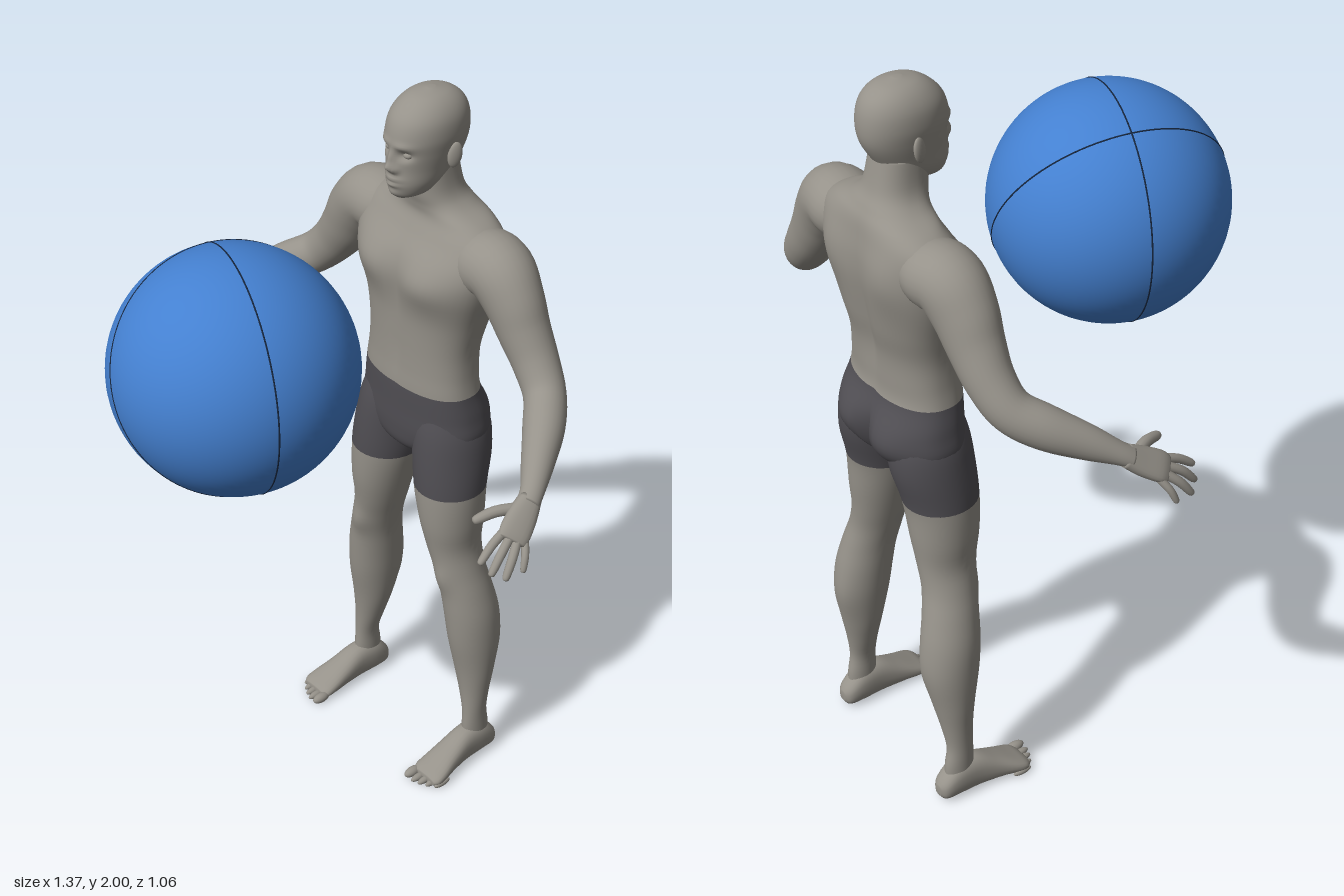
import * as THREE from 'three';

const V = (x, y, z) => new THREE.Vector3(x, y, z);
const material = (name, color) => {
  const m = new THREE.MeshStandardMaterial({ color });
  m.name = name;
  return m;
};

// Catmull-Rom through rows of numbers
function spline(rows, i, t) {
  const at = k => rows[Math.min(rows.length - 1, Math.max(0, k))];
  const [p, q, r, s] = [at(i - 1), at(i), at(i + 1), at(i + 2)];
  return q.map((_, k) => 0.5 * (2 * q[k] + (r[k] - p[k]) * t
    + (2 * p[k] - 5 * q[k] + 4 * r[k] - s[k]) * t * t
    + (3 * q[k] - p[k] - 3 * r[k] + s[k]) * t * t * t));
}

// Closed skin over rows [x, y, z, halfWidth, halfDepth].
// width: direction of halfWidth; axis: fixed ring normal (else the path tangent);
// split: row where the second material begins; bumps: [x, y, side, sx, sy, amount]
function loft(name, mats, rows, o = {}) {
  const { width = V(1, 0, 0), axis, power = 2, sides = 24, steps = 4, split, bumps = [] } = o;
  const rings = [];
  for (let i = 0; i < rows.length - 1; i++)
    for (let k = 0; k < steps; k++) rings.push(spline(rows, i, k / steps));
  rings.push(rows[rows.length - 1]);
  const pos = [], index = [], bend = c => Math.sign(c) * Math.abs(c) ** (2 / power);
  rings.forEach((r, i) => {
    const a = rings[Math.max(0, i - 1)], b = rings[Math.min(rings.length - 1, i + 1)];
    const t = axis || V(b[0] - a[0], b[1] - a[1], b[2] - a[2]).normalize();
    const v = width.clone().addScaledVector(t, -width.dot(t)).normalize();
    const u = v.clone().cross(t);
    for (let j = 0; j < sides; j++) {
      const th = j / sides * Math.PI * 2, c = Math.cos(th);
      const p = V(r[0], r[1], r[2])
        .addScaledVector(v, Math.max(r[3], 0.001) * bend(Math.sin(th)))
        .addScaledVector(u, Math.max(r[4], 0.001) * bend(c));
      let dz = 0;
      for (const [x, y, side, sx, sy, amount] of bumps) {
        const w = Math.min(1, Math.max(0, 3 * c * side));
        dz += side * w * amount * Math.exp(-(((Math.abs(p.x) - x) / sx) ** 2) - ((p.y - y) / sy) ** 2);
      }
      pos.push(p.x, p.y, p.z + dz);
    }
  });
  const n = rings.length, first = n * sides;
  pos.push(...rings[0].slice(0, 3), ...rings[n - 1].slice(0, 3));
  for (let j = 0; j < sides; j++) index.push(first, (j + 1) % sides, j);
  for (let i = 0; i < n - 1; i++)
    for (let j = 0; j < sides; j++) {
      const a = i * sides + j, b = i * sides + (j + 1) % sides;
      index.push(a, b, b + sides, a, b + sides, a + sides);
    }
  for (let j = 0; j < sides; j++) index.push(first + 1, (n - 1) * sides + j, (n - 1) * sides + (j + 1) % sides);
  const g = new THREE.BufferGeometry();
  g.setAttribute('position', new THREE.Float32BufferAttribute(pos, 3));
  g.setIndex(index);
  g.computeVertexNormals();
  if (split) {
    const cut = sides * 3 + split * steps * sides * 6;
    g.addGroup(0, cut, 0);
    g.addGroup(cut, index.length - cut, 1);
  }
  const mesh = new THREE.Mesh(g, mats);
  mesh.name = name;
  return mesh;
}

function ellipsoid(name, mat, p, r) {
  const m = new THREE.Mesh(new THREE.SphereGeometry(1, 20, 14), mat);
  m.position.set(...p);
  m.scale.set(...r);
  m.name = name;
  return m;
}

export function createModel() {
  const skin = material('skin grey', 0x96928a);
  const cloth = material('shorts charcoal', 0x504e53);
  const blue = material('ball blue', 0x4480d0);
  const dark = material('seam dark', 0x16263e);
  const model = new THREE.Group();
  model.name = 'manWithBall';
  const up = V(0, 1, 0);

  // Trunk: shorts up to the waist, then bare torso and neck
  model.add(loft('trunk', [cloth, skin], [
    [0, 0.965, -0.385, 0.03, 0.05], [0, 1.0, -0.39, 0.12, 0.09], [0, 1.05, -0.398, 0.192, 0.108],
    [0, 1.12, -0.398, 0.19, 0.11], [0, 1.19, -0.386, 0.176, 0.1], [0, 1.25, -0.386, 0.168, 0.098],
    [0, 1.32, -0.388, 0.168, 0.1], [0, 1.4, -0.395, 0.184, 0.11], [0, 1.5, -0.397, 0.214, 0.122],
    [0, 1.57, -0.403, 0.228, 0.116], [0, 1.63, -0.415, 0.222, 0.096], [0, 1.67, -0.42, 0.17, 0.083],
    [0, 1.7, -0.412, 0.105, 0.077], [0, 1.74, -0.397, 0.074, 0.072], [0, 1.82, -0.385, 0.064, 0.066],
  ], {
    axis: up, power: 2.3, sides: 56, steps: 6, split: 4,
    bumps: [
      [0.1, 1.52, 1, 0.075, 0.06, 0.018],      // pectorals
      [0, 1.5, 1, 0.02, 0.1, -0.012],          // breastbone
      [0, 1.3, 1, 0.013, 0.1, -0.006],         // belly line
      [0.11, 1.56, -1, 0.06, 0.08, 0.012],     // shoulder blades
      [0, 1.42, -1, 0.025, 0.2, -0.016],       // spine
      [0.085, 1.08, -1, 0.07, 0.06, 0.022],    // buttocks
      [0, 1.05, -1, 0.016, 0.08, -0.03],       // cleft
    ],
  }));

  // Head with sculpted face
  model.add(loft('head', skin, [
    [0, 1.737, -0.305, 0.022, 0.026], [0, 1.75, -0.325, 0.046, 0.055], [0, 1.78, -0.345, 0.063, 0.085],
    [0, 1.82, -0.361, 0.072, 0.1], [0, 1.86, -0.37, 0.08, 0.111], [0, 1.9, -0.373, 0.085, 0.113],
    [0, 1.94, -0.376, 0.081, 0.104], [0, 1.97, -0.38, 0.066, 0.083], [0, 1.99, -0.381, 0.042, 0.052],
    [0, 2.0, -0.381, 0.008, 0.01],
  ], {
    axis: up, power: 2.1, sides: 80, steps: 8,
    bumps: [
      [0, 1.826, 1, 0.014, 0.013, 0.018], [0, 1.85, 1, 0.01, 0.02, 0.011],   // nose
      [0.014, 1.82, 1, 0.008, 0.009, 0.007],                                // nostrils
      [0.032, 1.862, 1, 0.017, 0.012, -0.013],                              // eye sockets
      [0.03, 1.886, 1, 0.025, 0.009, 0.005],                                // brows
      [0, 1.795, 1, 0.024, 0.006, 0.007], [0, 1.778, 1, 0.02, 0.006, 0.007], // lips
      [0, 1.752, 1, 0.022, 0.012, 0.007],                                   // chin
    ],
  }));

  for (const s of [1, -1]) {
    const side = s > 0 ? 'left' : 'right';
    const flip = rows => rows.map(([x, ...rest]) => [x * s, ...rest]);

    model.add(ellipsoid(side + 'Eye', skin, [0.032 * s, 1.862, -0.283], [0.013, 0.009, 0.011]));
    const ear = ellipsoid(side + 'Ear', skin, [0.086 * s, 1.85, -0.385], [0.009, 0.033, 0.019]);
    ear.rotation.set(-0.15, -0.35 * s, 0);
    model.add(ear);

    // Leg: skin up to the hem, shorts above
    model.add(loft(side + 'Leg', [skin, cloth], flip([
      [0.227, 0.04, -0.418, 0.028, 0.04], [0.227, 0.1, -0.416, 0.028, 0.042], [0.226, 0.16, -0.412, 0.029, 0.037],
      [0.218, 0.23, -0.415, 0.041, 0.043], [0.21, 0.31, -0.418, 0.056, 0.056], [0.203, 0.41, -0.418, 0.067, 0.075],
      [0.195, 0.5, -0.411, 0.07, 0.078], [0.181, 0.58, -0.4, 0.066, 0.074], [0.162, 0.65, -0.389, 0.064, 0.072],
      [0.144, 0.72, -0.383, 0.067, 0.079], [0.135, 0.8, -0.38, 0.081, 0.09], [0.123, 0.9, -0.381, 0.094, 0.097],
      [0.111, 1.0, -0.394, 0.098, 0.108], [0.1, 1.08, -0.398, 0.094, 0.104], [0.09, 1.15, -0.392, 0.07, 0.08],
    ]), {
      axis: up, sides: 32, split: 11,
      bumps: [[0.168, 0.625, 1, 0.03, 0.04, 0.01], [0.17, 0.43, -1, 0.03, 0.08, 0.005]], // kneecap, calf
    }));

    // Foot and toes
    model.add(loft(side + 'Foot', skin, flip([
      [0.226, 0.035, -0.484, 0.012, 0.014], [0.226, 0.037, -0.47, 0.029, 0.032], [0.226, 0.052, -0.43, 0.036, 0.05],
      [0.228, 0.052, -0.37, 0.037, 0.051], [0.231, 0.038, -0.31, 0.043, 0.037], [0.235, 0.025, -0.26, 0.05, 0.024],
      [0.236, 0.019, -0.235, 0.049, 0.017], [0.237, 0.016, -0.222, 0.038, 0.01],
    ]), { axis: V(0, 0, 1), power: 2.4 }));
    for (let i = 0; i < 5; i++) {
      const r = i ? 0.0105 - i * 0.0004 : 0.014;
      model.add(ellipsoid(side + 'Toe' + (i + 1), skin,
        [(0.197 + (i ? 0.004 + i * 0.0195 : 0)) * s, r, -0.215 - i * i * 0.0022], [r, r, 0.028]));
    }

    // Arm from inside the shoulder to the wrist
    model.add(loft(side + 'Arm', skin, flip([
      [0.1, 1.57, -0.418, 0.06, 0.06], [0.17, 1.585, -0.416, 0.088, 0.082], [0.235, 1.582, -0.412, 0.086, 0.086],
      [0.285, 1.53, -0.41, 0.075, 0.082], [0.325, 1.465, -0.41, 0.066, 0.072], [0.375, 1.395, -0.408, 0.058, 0.062],
      [0.43, 1.335, -0.39, 0.053, 0.056], [0.487, 1.295, -0.335, 0.052, 0.055], [0.545, 1.256, -0.262, 0.041, 0.044],
      [0.588, 1.226, -0.205, 0.03, 0.028], [0.604, 1.21, -0.175, 0.029, 0.022],
    ]), { width: V(0.3 * s, 0.1, -1), sides: 28, steps: 5 }));

    // Palm, spread across from index to little finger
    const across = V(0.035 * s, -0.025, -0.045);
    model.add(loft(side + 'Palm', skin, flip([
      [0.598, 1.217, -0.19, 0.028, 0.022], [0.613, 1.193, -0.152, 0.037, 0.02],
      [0.63, 1.17, -0.112, 0.04, 0.016], [0.638, 1.158, -0.094, 0.034, 0.009],
    ]), { width: across, power: 2.4, sides: 20 }));

    // Fingers: root, middle joint and tip
    const fingers = {
      Thumb: [[0.595, 1.2, -0.16], [0.568, 1.2, -0.105], [0.549, 1.186, -0.05]],
      IndexFinger: [[0.612, 1.176, -0.1], [0.618, 1.157, -0.05], [0.625, 1.125, -0.004]],
      MiddleFinger: [[0.626, 1.168, -0.105], [0.642, 1.141, -0.058], [0.65, 1.098, -0.018]],
      RingFinger: [[0.638, 1.16, -0.115], [0.66, 1.128, -0.078], [0.672, 1.084, -0.045]],
      LittleFinger: [[0.646, 1.154, -0.13], [0.668, 1.125, -0.112], [0.679, 1.087, -0.097]],
    };
    for (const [name, [a, b, c]] of Object.entries(fingers)) {
      const r = name === 'Thumb' ? 0.0145 : name === 'LittleFinger' ? 0.0095 : 0.0115;
      const near = c.map((q, k) => q + (b[k] - q) * 0.15);
      model.add(loft(side + name, skin,
        flip([[...a, r, r], [...b, r, r], [...near, r * 0.8, r * 0.8], [...c, 0.002, 0.002]]),
        { width: across, sides: 12 }));
    }
  }

  // Exercise ball with two crossing seams
  const ball = new THREE.Group();
  ball.name = 'ball';
  ball.position.set(0, 1.456, 0.229);
  const shell = new THREE.Mesh(new THREE.SphereGeometry(0.305, 72, 48), blue);
  shell.name = 'ballShell';
  ball.add(shell);
  for (const n of [V(-0.314, 0, 0.949), V(0.847, 0.479, 0.232)]) {
    const seam = new THREE.Mesh(new THREE.TorusGeometry(0.3045, 0.0022, 6, 120), dark);
    seam.quaternion.setFromUnitVectors(V(0, 0, 1), n.normalize());
    seam.name = 'ballSeam';
    ball.add(seam);
  }
  model.add(ball);
  return model;
}
